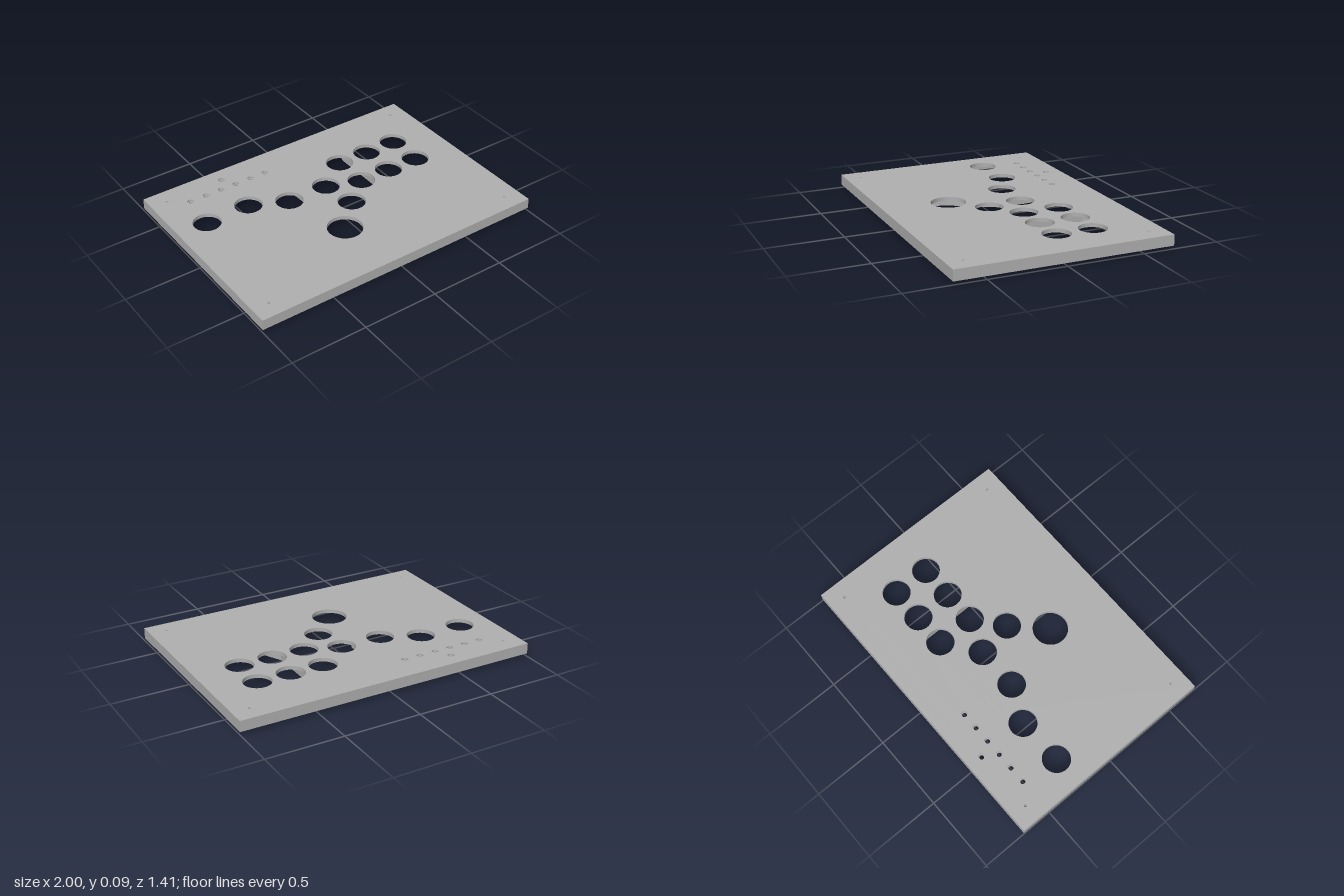
import * as THREE from 'three';

const grey = new THREE.MeshStandardMaterial({ color: 0xb0b0b0 });
grey.name = 'plain grey';

const TOP = 0.09, FLOOR = 0.065, STEP = 0.078, RIM = 0.02;

// Shapes are drawn in plan as (x, -z) and extruded upwards.
function slab(name, shape, bottom, top) {
  const geometry = new THREE.ExtrudeGeometry(shape, {
    depth: top - bottom, bevelEnabled: false, curveSegments: 24,
  });
  geometry.rotateX(-Math.PI / 2);
  geometry.translate(0, bottom, 0);
  const mesh = new THREE.Mesh(geometry, grey);
  mesh.name = name;
  return mesh;
}

function polygon(points) {
  return new THREE.Shape(points.map(([x, z]) => new THREE.Vector2(x, -z)));
}

function rectangle(w, d) {
  return polygon([[-w, d], [w, d], [w, -d], [-w, -d]]);
}

function circle(x, z, r) {
  return new THREE.Path().absarc(x, -z, r, 0, Math.PI * 2, true);
}

// Round openings for the buttons
const buttons = [
  [-0.79, -0.262, 0.09], [-0.485, -0.27, 0.09], [-0.248, -0.16, 0.09],
  [0.033, -0.16, 0.09], [0.07, 0.072, 0.09], [-0.123, 0.27, 0.113],
];
for (const x of [0.257, 0.478, 0.7]) {
  for (const z of [-0.322, -0.08]) buttons.push([x, z, 0.09]);
}

// Small stepped openings
const small = [[-0.485, -0.603]];
for (let i = 0; i < 6; i++) small.push([-0.764 + i * 0.111, -0.51]);

const corners = [[-1, -1], [-1, 1], [1, -1], [1, 1]];

function panel(name, bottom, top, smallRadius) {
  const shape = rectangle(1, 0.703);
  for (const [x, z, r] of buttons) shape.holes.push(circle(x, z, r));
  for (const [x, z] of small) shape.holes.push(circle(x, z, smallRadius));
  for (const [sx, sz] of corners) shape.holes.push(circle(sx * 0.888, sz * 0.596, 0.009));
  return slab(name, shape, bottom, top);
}

// A zigzag wall of constant width along x
function rib(name, path, half) {
  const left = path.map(([x, z]) => [x - half, z]);
  const right = path.map(([x, z]) => [x + half, z]).reverse();
  return slab(name, polygon([...left, ...right]), RIM, FLOOR);
}

export function createModel() {
  const model = new THREE.Group();
  model.name = 'controllerTopCase';

  // Top plate, in two layers for the stepped small holes
  model.add(panel('topPlateUpper', STEP, TOP, 0.021));
  model.add(panel('topPlateLower', FLOOR, STEP, 0.015));

  // Surrounding rim, open underneath
  const frame = rectangle(1, 0.703);
  frame.holes.push(new THREE.Path(rectangle(0.945, 0.648).getPoints().reverse()));
  model.add(slab('rim', frame, RIM, FLOOR));

  // Stiffening ribs on the underside
  model.add(rib('leftRib', [
    [0.48, -0.65], [0.367, -0.42], [0.367, -0.02], [0.56, 0.365], [0.42, 0.65],
  ], 0.02));
  model.add(rib('rightRib', [
    [-0.16, -0.65], [-0.04, -0.46], [-0.12, -0.31], [-0.107, -0.08],
    [-0.29, 0.225], [-0.42, 0.65],
  ], 0.022));

  // Screw bosses and locating pegs in each corner
  for (const [sx, sz] of corners) {
    const bossShape = new THREE.Shape().absarc(sx * 0.888, -sz * 0.596, 0.036, 0, Math.PI * 2, false);
    bossShape.holes.push(circle(sx * 0.888, sz * 0.596, 0.009));
    model.add(slab('screwBoss', bossShape, RIM, FLOOR));

    const peg = new THREE.Mesh(new THREE.BoxGeometry(0.04, FLOOR, 0.04), grey);
    peg.name = 'locatingPeg';
    peg.position.set(sx * 0.797, FLOOR / 2, sz * 0.614);
    model.add(peg);
  }
  return model;
}
